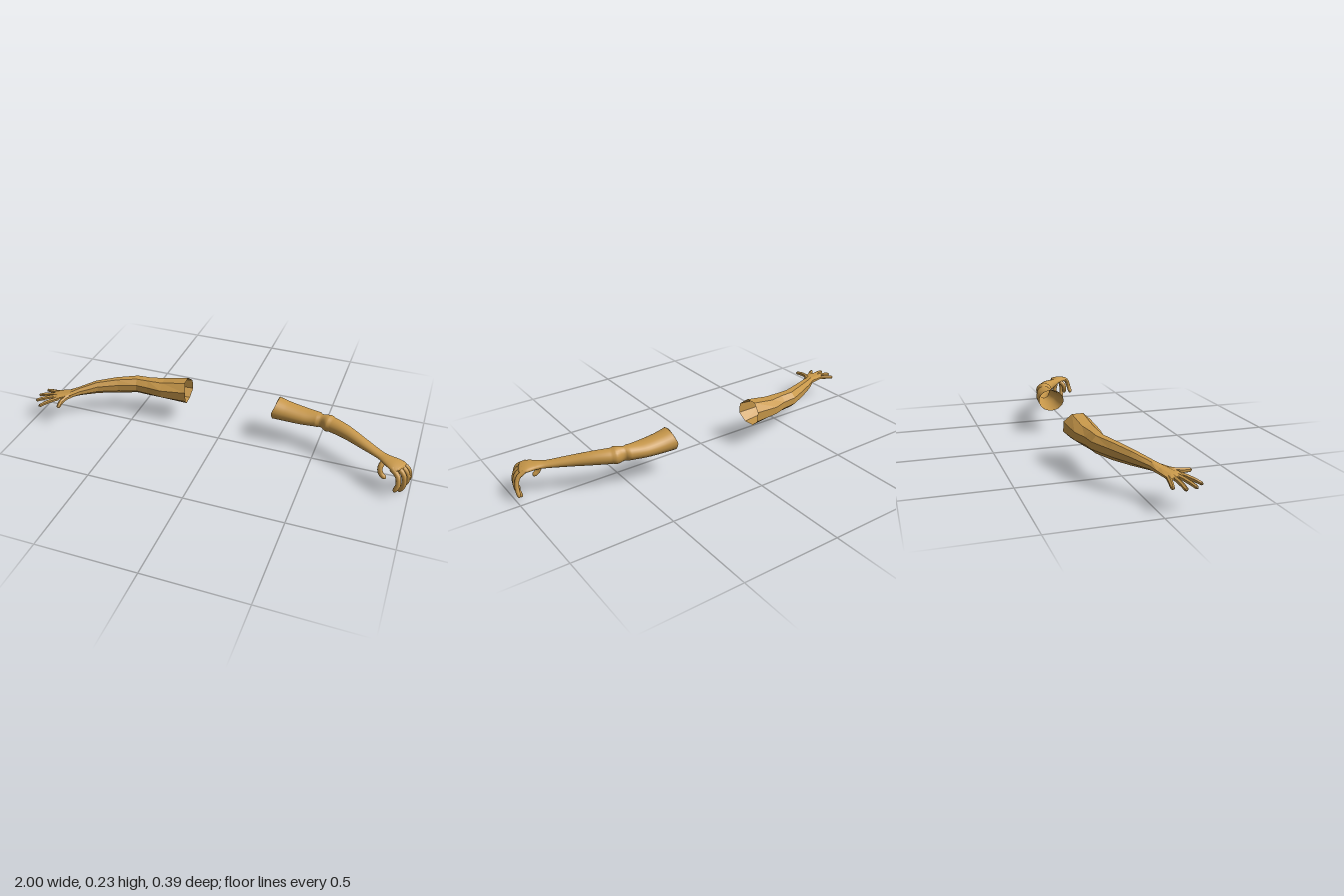
import * as THREE from 'three';

const skin = new THREE.MeshStandardMaterial({ color: 0xc8984a, side: THREE.DoubleSide });
const facetedSkin = skin.clone();
facetedSkin.flatShading = true;

const Z = new THREE.Vector3(0, 0, 1);
const Y = new THREE.Vector3(0, 1, 0);

// Skins elliptical rings along stations of [x, y, z, halfWidth, halfHeight].
// rimPull draws the top and bottom of the first ring inward along the limb.
function loft(stations, { sides, samples, hint, phase = 0, rimPull = 0 }) {
  const path = new THREE.CatmullRomCurve3(stations.map(s => new THREE.Vector3(s[0], s[1], s[2])));
  const size = new THREE.CatmullRomCurve3(stations.map(s => new THREE.Vector3(s[3], s[4], 0)));
  const grow = phase ? 1 / Math.cos(phase) : 1;
  const positions = [], index = [];
  for (let i = 0; i <= samples; i++) {
    const u = i / samples;
    const centre = path.getPoint(u), radius = size.getPoint(u), along = path.getTangent(u);
    const up = hint.clone().cross(along).normalize();
    const side = along.clone().cross(up);
    for (let j = 0; j < sides; j++) {
      const a = (j / sides) * Math.PI * 2 + phase;
      const p = centre.clone()
        .addScaledVector(side, Math.cos(a) * Math.max(0, radius.x) * grow)
        .addScaledVector(up, Math.sin(a) * Math.max(0, radius.y) * grow);
      if (i === 0) p.addScaledVector(along, rimPull * Math.abs(Math.sin(a)));
      positions.push(p.x, p.y, p.z);
      if (i < samples) {
        const k = (j + 1) % sides, r = i * sides, n = r + sides;
        index.push(r + j, n + j, r + k, r + k, n + j, n + k);
      }
    }
  }
  const geometry = new THREE.BufferGeometry();
  geometry.setAttribute('position', new THREE.Float32BufferAttribute(positions, 3));
  geometry.setIndex(index);
  geometry.computeVertexNormals();
  return geometry;
}

// Round-tipped finger along a few points; the last point is the tip.
function finger(points, r, { sides, rings, hint }) {
  const curve = new THREE.CatmullRomCurve3(points.map(p => new THREE.Vector3(...p)));
  const stations = rings.map(u => {
    const p = curve.getPoint(u);
    const t = Math.max(0, (u - 0.85) / 0.15);
    const w = r * (1.08 - 0.15 * u) * Math.sqrt(Math.max(0, 1 - t * t));
    return [p.x, p.y, p.z, w, w];
  });
  return loft(stations, { sides, samples: rings.length - 1, hint });
}

function add(group, name, geometry, material) {
  const mesh = new THREE.Mesh(geometry, material);
  mesh.name = name;
  group.add(mesh);
}

export function createModel() {
  const model = new THREE.Group();
  model.name = 'pairOfArms';

  // Left arm: smooth, with a relaxed, drooping hand
  const left = new THREE.Group();
  left.name = 'leftArm';
  add(left, 'leftArmAndPalm', loft([
    [0.265, 0.176, -0.128, 0.067, 0.056],
    [0.33, 0.168, -0.125, 0.061, 0.048],
    [0.42, 0.163, -0.119, 0.055, 0.040],
    [0.50, 0.164, -0.111, 0.041, 0.037],
    [0.57, 0.163, -0.093, 0.041, 0.037],
    [0.65, 0.161, -0.058, 0.036, 0.033],
    [0.75, 0.152, -0.003, 0.030, 0.024],
    [0.84, 0.143, 0.046, 0.026, 0.016],
    [0.88, 0.141, 0.069, 0.036, 0.016],
    [0.92, 0.138, 0.088, 0.049, 0.016],
    [0.945, 0.135, 0.098, 0.046, 0.012],
    [0.953, 0.133, 0.102, 0, 0],
  ], { sides: 28, samples: 88, hint: Z, rimPull: 0.012 }), skin);

  const smooth = { sides: 14, hint: Z, rings: [0, .12, .24, .36, .48, .6, .7, .79, .85, .9, .94, .97, .99, 1] };
  const leftFingers = {
    Index: [[0.905, 0.137, 0.122], [0.938, 0.118, 0.146], [0.947, 0.08, 0.161], [0.933, 0.041, 0.17]],
    Middle: [[0.925, 0.138, 0.100], [0.962, 0.11, 0.115], [0.971, 0.055, 0.120], [0.953, 0.007, 0.116]],
    Ring: [[0.935, 0.138, 0.078], [0.972, 0.108, 0.086], [0.982, 0.055, 0.078], [0.965, 0, 0.064]],
    Pinky: [[0.942, 0.135, 0.056], [0.976, 0.11, 0.058], [0.989, 0.065, 0.047], [0.988, 0.022, 0.030]],
    Thumb: [[0.862, 0.138, 0.075], [0.850, 0.115, 0.100], [0.857, 0.085, 0.108], [0.884, 0.062, 0.111]],
  };
  for (const [name, points] of Object.entries(leftFingers)) {
    add(left, `left${name}Finger`, finger(points, name === 'Pinky' ? 0.0105 : 0.0125, smooth), skin);
  }

  // Right arm: faceted, with an open, spread hand
  const right = new THREE.Group();
  right.name = 'rightArm';
  const rightStations = [
    [-0.203, 0.172, -0.128, 0.068, 0.062],
    [-0.35, 0.164, -0.118, 0.063, 0.046],
    [-0.43, 0.163, -0.110, 0.046, 0.044],
    [-0.50, 0.164, -0.107, 0.043, 0.042],
    [-0.60, 0.160, -0.068, 0.034, 0.040],
    [-0.70, 0.155, -0.020, 0.028, 0.032],
    [-0.78, 0.143, 0.034, 0.024, 0.020],
    [-0.82, 0.136, 0.060, 0.034, 0.014],
    [-0.88, 0.129, 0.086, 0.042, 0.011],
    [-0.905, 0.126, 0.092, 0.034, 0.007],
    [-0.907, 0.126, 0.093, 0, 0],
  ];
  add(right, 'rightArmAndPalm', loft(rightStations, {
    sides: 8, samples: rightStations.length - 1, hint: Z, phase: Math.PI / 8, rimPull: 0.018,
  }), facetedSkin);

  const faceted = { sides: 6, hint: Y, rings: [0, 0.35, 0.65, 0.92, 1] };
  const rightFingers = {
    Index: [[-0.865, 0.128, 0.115], [-0.91, 0.119, 0.152], [-0.95, 0.103, 0.188]],
    Middle: [[-0.885, 0.128, 0.100], [-0.94, 0.120, 0.124], [-0.99, 0.105, 0.146]],
    Ring: [[-0.89, 0.127, 0.080], [-0.948, 0.119, 0.088], [-1.0, 0.105, 0.094]],
    Pinky: [[-0.88, 0.126, 0.060], [-0.93, 0.120, 0.051], [-0.98, 0.110, 0.041]],
    Thumb: [[-0.805, 0.136, 0.070], [-0.835, 0.130, 0.125], [-0.828, 0.124, 0.193]],
  };
  for (const [name, points] of Object.entries(rightFingers)) {
    add(right, `right${name}Finger`, finger(points, name === 'Thumb' ? 0.012 : 0.0105, faceted), facetedSkin);
  }

  model.add(left, right);
  return model;
}
